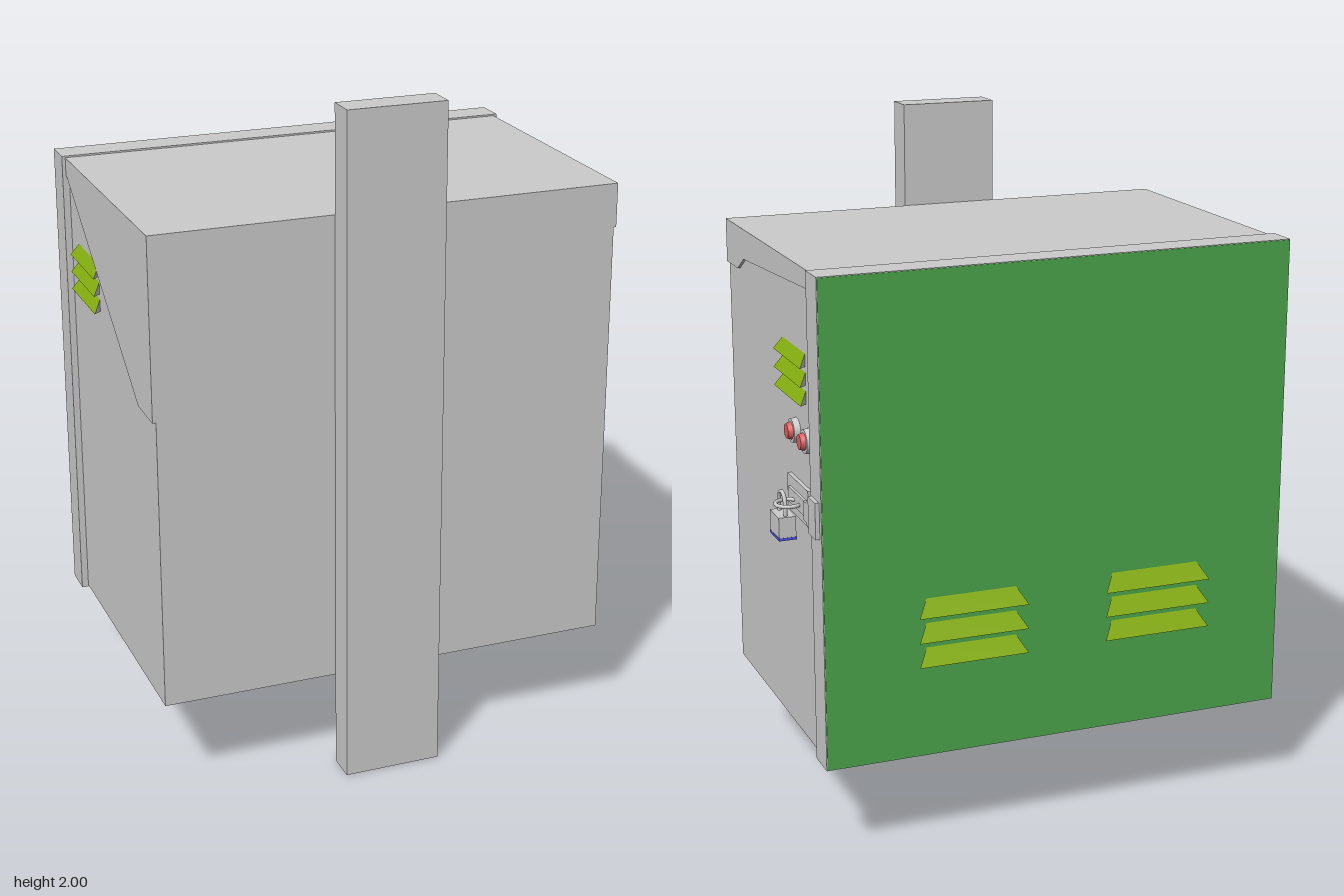
import * as THREE from 'three';

const mat = (color) => new THREE.MeshStandardMaterial({ color });
const grey = mat(0xcccccc), green = mat(0x4ca64c), red = mat(0xe06060), blue = mat(0x5050e0);
const olive = mat(0x86b010);
grey.side = olive.side = THREE.DoubleSide;

function add(parent, name, geometry, material = grey) {
  const mesh = new THREE.Mesh(geometry, material);
  mesh.name = name;
  parent.add(mesh);
  return mesh;
}

// Box given by its limits on each axis
function block(parent, name, [x0, x1], [y0, y1], [z0, z1], material) {
  const g = new THREE.BoxGeometry(x1 - x0, y1 - y0, z1 - z0);
  g.translate((x0 + x1) / 2, (y0 + y1) / 2, (z0 + z1) / 2);
  return add(parent, name, g, material);
}

// Plate drawn in (z, y) and extruded along x
function sidePlate(parent, name, points, x0, x1) {
  const shape = new THREE.Shape(points.map(([z, y]) => new THREE.Vector2(-z, y)));
  const g = new THREE.ExtrudeGeometry(shape, { depth: x1 - x0, bevelEnabled: false });
  g.rotateY(Math.PI / 2).translate(x0, 0, 0);
  return add(parent, name, g);
}

function facets(...quads) {
  const pos = [];
  for (const [a, b, c, d] of quads) {
    pos.push(...a, ...b, ...c);
    if (d) pos.push(...a, ...c, ...d);
  }
  const g = new THREE.BufferGeometry();
  g.setAttribute('position', new THREE.Float32BufferAttribute(pos, 3));
  g.computeVertexNormals();
  return g;
}

// Three sloping louvre hoods that flare towards their lower edge
function louvres(parent, name, width, inset, height, pitch, depth) {
  const group = new THREE.Group();
  group.name = name;
  const w = width / 2, n = w - inset;
  for (let i = 0; i < 3; i++) {
    const y = -i * pitch;
    const tl = [-n, y, 0], tr = [n, y, 0];
    const ol = [-w, y - height, depth], or = [w, y - height, depth];
    const bl = [-n, y - height, 0], br = [n, y - height, 0];
    add(group, 'louvreHood', facets([tl, ol, or, tr]), olive);
    add(group, 'louvreUnderside', facets([bl, br, or, ol], [tl, bl, ol], [tr, or, br]));
  }
  parent.add(group);
  return group;
}

export function createModel() {
  const model = new THREE.Group();
  model.name = 'wallCabinet';

  // Mounting post and cabinet body
  block(model, 'mountingPost', [-0.2, 0.09], [0, 2], [0.435, 0.525]);
  block(model, 'cabinetBody', [-0.72, 0.652], [0.29, 1.69], [-0.4, 0.435]);

  // Overlapping upper side skirts
  sidePlate(model, 'rightSkirt', [[0.435, 1.69], [0.435, 1.56], [0.32, 1.56],
    [0.25, 1.6], [-0.4, 1.64], [-0.4, 1.69]], 0.652, 0.66);
  sidePlate(model, 'leftSkirt', [[0.435, 1.69], [0.435, 1.16], [0.3, 1.16],
    [-0.4, 1.64], [-0.4, 1.69]], -0.73, -0.72);

  // Door rim with its coloured panel
  block(model, 'doorRim', [-0.74, 0.67], [0.285, 1.695], [-0.494, -0.4]);
  block(model, 'doorPanel', [-0.738, 0.668], [0.287, 1.693], [-0.496, -0.49], green);

  // Vents on the door and on both sides
  for (const x of [-0.335, 0.235]) {
    const vent = louvres(model, 'doorVent', 0.33, 0.03, 0.05, 0.073, 0.028);
    vent.position.set(x, 0.76, -0.496);
    vent.rotation.y = Math.PI;
  }
  for (const side of [1, -1]) {
    const vent = louvres(model, 'sideVent', 0.255, 0.02, 0.036, 0.053, 0.022);
    vent.position.set(side > 0 ? 0.652 : -0.72, 1.447, -0.213);
    vent.rotation.y = side * Math.PI / 2;
  }

  // Push buttons in round bezels
  for (const z of [-0.228, -0.347]) {
    const bezel = new THREE.CylinderGeometry(0.034, 0.036, 0.018, 32).rotateZ(-Math.PI / 2);
    add(model, 'buttonBezel', bezel).position.set(0.661, 1.207, z);
    const cap = new THREE.CylinderGeometry(0.021, 0.025, 0.014, 32).rotateZ(-Math.PI / 2);
    add(model, 'buttonCap', cap, red).position.set(0.677, 1.207, z);
  }

  // Hasp: base plate, slotted strap, tapering neck and door clasp
  const hasp = new THREE.Group();
  hasp.name = 'hasp';
  model.add(hasp);
  block(hasp, 'haspPlate', [0.65, 0.664], [0.96, 1.065], [-0.355, -0.16]);
  block(hasp, 'haspStrap', [0.664, 0.672], [0.99, 1.035], [-0.36, -0.19]);
  sidePlate(hasp, 'haspNeck', [[-0.355, 0.985], [-0.375, 0.985], [-0.412, 0.965],
    [-0.412, 1.07], [-0.375, 1.04], [-0.355, 1.04]], 0.655, 0.678);
  block(hasp, 'doorClasp', [0.66, 0.682], [0.965, 1.07], [-0.478, -0.412]);
  const staple = new THREE.TorusGeometry(0.036, 0.006, 8, 32).rotateX(Math.PI / 2);
  add(hasp, 'staple', staple).position.set(0.696, 1.01, -0.27);

  // Padlock hanging from the staple
  const padlock = new THREE.Group();
  padlock.name = 'padlock';
  model.add(padlock);
  block(padlock, 'padlockBody', [0.674, 0.724], [0.908, 0.968], [-0.268, -0.18]);
  block(padlock, 'padlockBase', [0.673, 0.725], [0.9, 0.908], [-0.269, -0.179], blue);
  const bow = new THREE.CatmullRomCurve3([[-0.254, 0.96], [-0.254, 1.0], [-0.245, 1.022],
    [-0.224, 1.031], [-0.203, 1.022], [-0.194, 1.0], [-0.194, 0.96]]
    .map(([z, y]) => new THREE.Vector3(0.7, y, z)));
  add(padlock, 'shackle', new THREE.TubeGeometry(bow, 32, 0.006, 8));

  return model;
}
